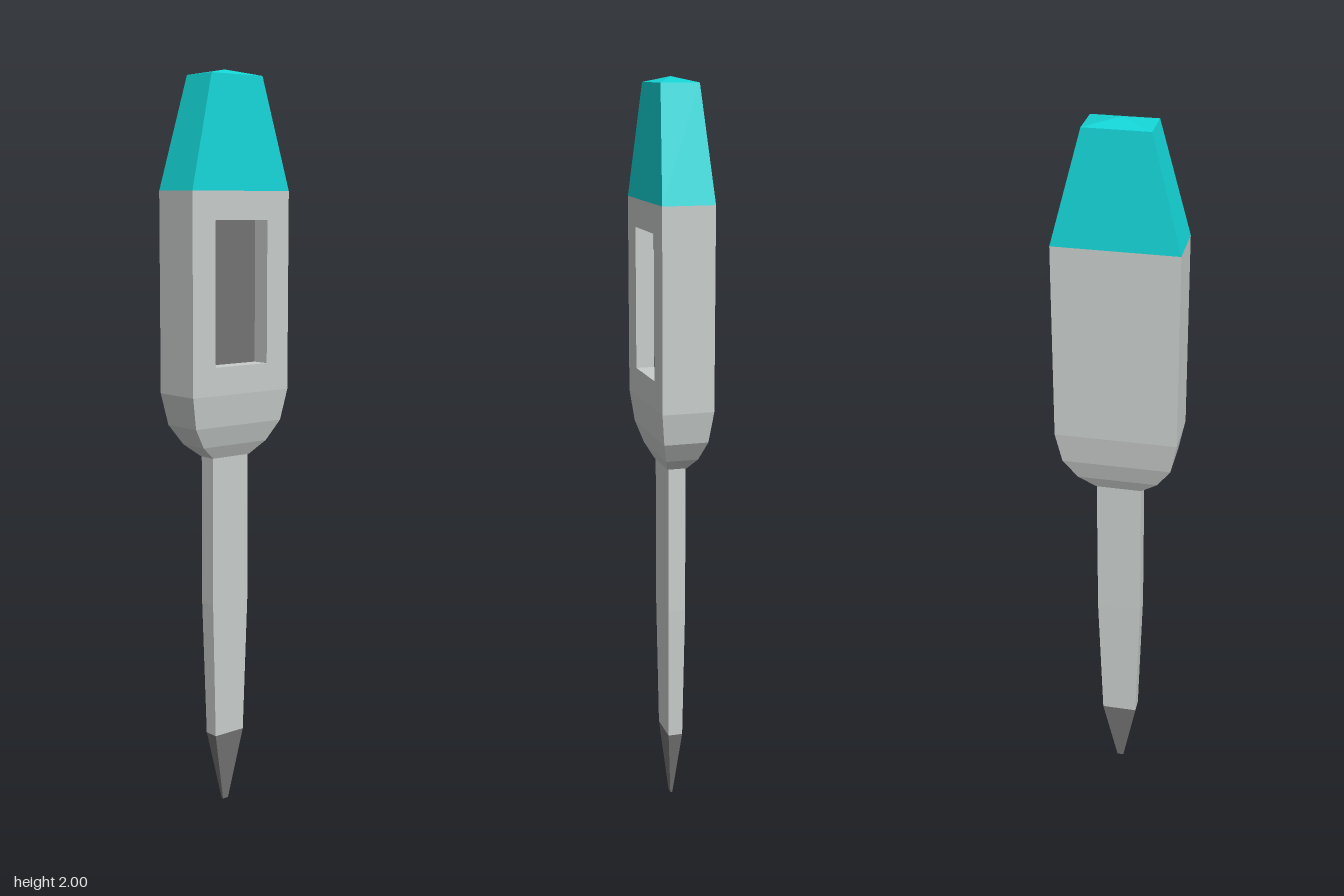
import * as THREE from 'three';

const material = (color) => new THREE.MeshStandardMaterial({ color, flatShading: true });

// Mesh from four-cornered faces, corners counter-clockwise from outside
function quadMesh(name, quads, mat) {
  const positions = [];
  for (const [a, b, c, d] of quads) {
    for (const p of [a, b, c, a, c, d]) positions.push(...p);
  }
  const geometry = new THREE.BufferGeometry();
  geometry.setAttribute('position', new THREE.Float32BufferAttribute(positions, 3));
  geometry.computeVertexNormals();
  const mesh = new THREE.Mesh(geometry, mat);
  mesh.name = name;
  return mesh;
}

// Rectangular cross-sections [y, halfWidth, halfDepth] joined from bottom to top
function loft(name, sections, mat, { bottom = false, top = false, openFront = -1 } = {}) {
  const rings = sections.map(([y, w, d]) => [[-w, y, d], [w, y, d], [w, y, -d], [-w, y, -d]]);
  const quads = [];
  for (let r = 0; r < rings.length - 1; r++) {
    for (let i = 0; i < 4; i++) {
      if (r === openFront && i === 0) continue;
      const j = (i + 1) % 4;
      quads.push([rings[r][i], rings[r][j], rings[r + 1][j], rings[r + 1][i]]);
    }
  }
  if (bottom) quads.push([...rings[0]].reverse());
  if (top) quads.push(rings[rings.length - 1]);
  return quadMesh(name, quads, mat);
}

// Rectangle corners, counter-clockwise
const rect = (x, y0, y1) => [[-x, y0], [x, y0], [x, y1], [-x, y1]];
const toVectors = (points) => points.map(([x, y]) => new THREE.Vector2(x, y));

export function createModel() {
  const group = new THREE.Group();
  const shell = material(0xc8cdcb);
  const dark = material(0x737373);
  const accent = material(0x14d4d6);

  const W = 0.163, D = 0.07;
  const shoulderY = 1.16, capY = 1.69;
  const recessZ = 0.02;

  // Pointed tip and slender probe
  group.add(loft('tip', [[0, 0.009, 0.003], [0.2, 0.049, 0.02]], dark, { bottom: true }));
  group.add(loft('probe', [[0.2, 0.049, 0.02], [0.58, 0.061, 0.024], [0.99, 0.061, 0.024]], shell));

  // Housing with rounded shoulders; its straight front is filled by the panel below
  group.add(loft('housing', [
    [0.985, 0.062, 0.027],
    [1.02, 0.108, 0.044],
    [1.075, 0.146, 0.06],
    [shoulderY, W, D],
    [capY, W, D],
  ], shell, { bottom: true, openFront: 3 }));

  // Front panel with the window cut out
  const windowCorners = rect(0.088, 1.235, 1.615);
  const panelShape = new THREE.Shape(toVectors(rect(W, shoulderY, capY)));
  panelShape.holes.push(new THREE.Path(toVectors(windowCorners)));
  const panel = new THREE.Mesh(new THREE.ShapeGeometry(panelShape), shell);
  panel.name = 'frontPanel';
  panel.position.z = D;
  group.add(panel);

  // Walls of the recess and the screen at its back
  const front = windowCorners.map(([x, y]) => [x, y, D]);
  const back = windowCorners.map(([x, y]) => [x, y, recessZ]);
  const walls = front.map((p, i) => {
    const j = (i + 1) % 4;
    return [p, front[j], back[j], back[i]];
  });
  group.add(quadMesh('windowRecess', walls, shell));
  group.add(quadMesh('screen', [back], dark));

  // Tapered cap closed by a very low pyramid
  group.add(loft('cap', [[capY, W, D], [1.985, 0.085, 0.051], [2, 0, 0]], accent));

  return group;
}
